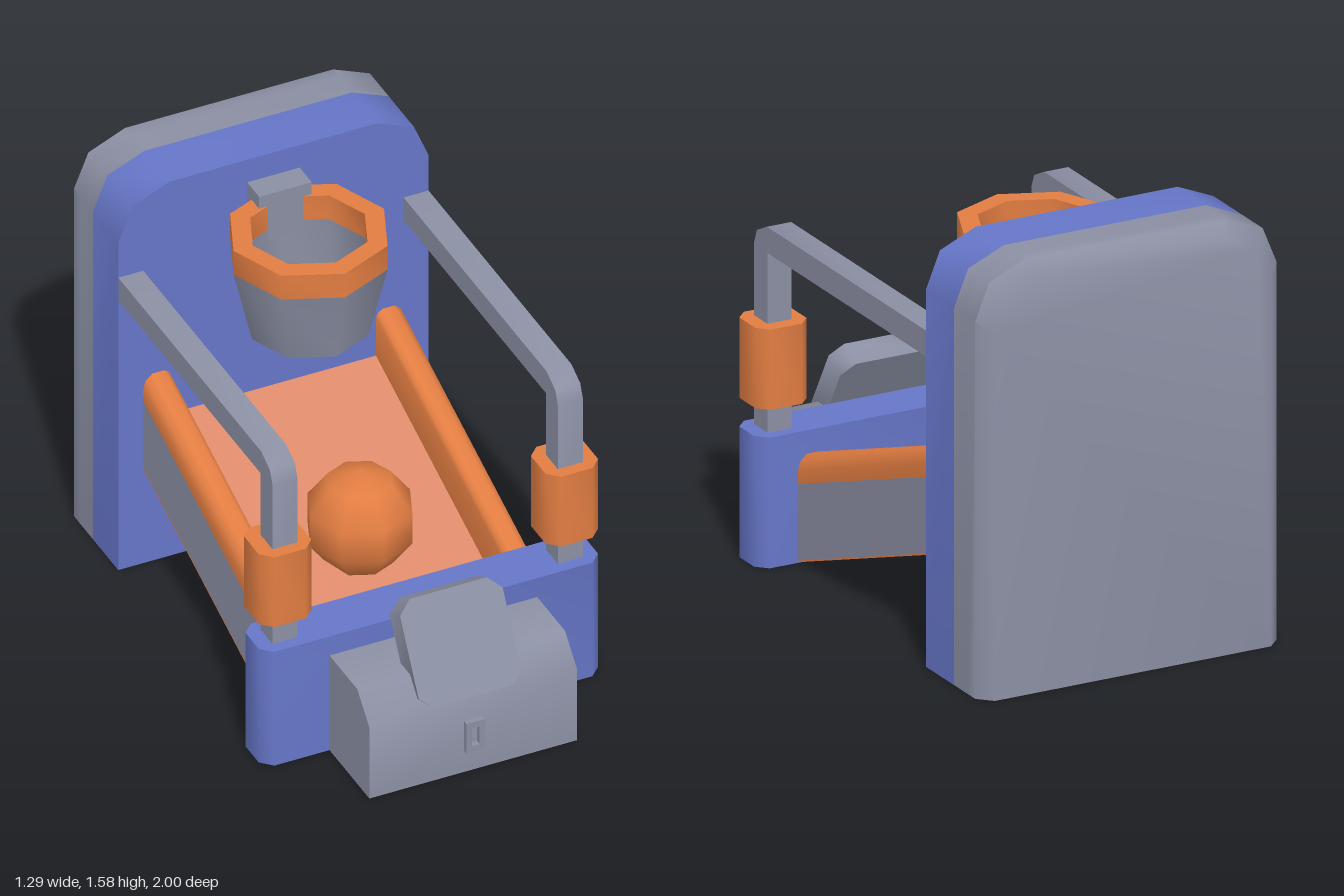
import * as THREE from 'three';
import { toCreasedNormals } from 'three/addons/utils/BufferGeometryUtils.js';

const mat = (name, color) => {
  const m = new THREE.MeshStandardMaterial({ color });
  m.name = name;
  return m;
};

export function createModel() {
  const group = new THREE.Group();
  const blue = mat('blue', 0x6676c8);
  const gray = mat('gray', 0x8b8fa3);
  const orange = mat('orange', 0xe27d42);
  const salmon = mat('salmon', 0xdc8a6a);

  const add = (name, geometry, material) => {
    const mesh = new THREE.Mesh(toCreasedNormals(geometry, 0.82), material);
    mesh.name = name;
    group.add(mesh);
    return mesh;
  };
  const polygon = (pts) => new THREE.Shape(pts.map(([x, y]) => new THREE.Vector2(x, y)));
  const extrude = (pts, depth, steps = 1) =>
    new THREE.ExtrudeGeometry(polygon(pts), { depth, steps, bevelEnabled: false });
  // Side profile of (z, y) points, extruded across x and centred on cx
  const across = (pts, width, cx = 0) =>
    extrude(pts, width).translate(0, 0, -width / 2).rotateY(-Math.PI / 2).translate(cx, 0, 0);
  // Rectangle with cut corners
  const cutRect = (w, h, c) => [
    [-w + c, -h], [w - c, -h], [w, -h + c], [w, h - c],
    [w - c, h], [-w + c, h], [-w, h - c], [-w, -h + c],
  ];
  // Upright prism with cut corners
  const post = (w, d, c, y0, y1, x, z) =>
    extrude(cutRect(w / 2, d / 2, c), y1 - y0).rotateX(-Math.PI / 2).translate(x, y0, z);

  // Backboard: front slab and rear shell with a chamfered back edge
  const board = [
    [-0.59, 0], [0.59, 0], [0.59, 1.385], [0.535, 1.52],
    [0.395, 1.58], [-0.395, 1.58], [-0.535, 1.52], [-0.59, 1.385],
  ];
  add('backboard', extrude(board, 0.2).translate(0, 0, -0.8), blue);
  const shell = extrude(board, 0.2, 4).translate(0, 0, -1);
  const sp = shell.attributes.position;
  for (let i = 0; i < sp.count; i++) {
    if (sp.getZ(i) < -0.99) sp.setXY(i, sp.getX(i) * 0.915, sp.getY(i) * 0.968);
  }
  add('backShell', shell, gray);

  // Sloping lane: cross-sections at the backboard, sheared downwards to the front
  const lane = (pts) => {
    const g = extrude(pts, 1.085).translate(0, 0, -0.6);
    const p = g.attributes.position;
    for (let i = 0; i < p.count; i++) p.setY(i, p.getY(i) - 0.3664 * (p.getZ(i) + 0.6));
    return g;
  };
  const block = (x0, x1, y0, y1) => [[x0, y0], [x1, y0], [x1, y1], [x0, y1]];
  add('laneUnderside', lane(block(-0.495, 0.495, 0.398, 0.404)), orange);
  add('laneFloor', lane(block(-0.395, 0.395, 0.404, 0.6)), salmon);

  for (const [s, side] of [[1, 'left'], [-1, 'right']]) {
    const wall = s > 0 ? block(0.395, 0.495, 0.404, 0.685) : block(-0.495, -0.395, 0.404, 0.685);
    add(side + 'LaneWall', lane(wall), gray);
    // Rounded rail along the top, with a thin inner lining
    const rail = [
      [0.39, 0.595], [0.394, 0.595], [0.394, 0.685], [0.495, 0.685], [0.495, 0.735],
      [0.485, 0.768], [0.46, 0.79], [0.415, 0.79], [0.397, 0.778], [0.39, 0.76],
    ];
    add(side + 'Rail', lane(rail.map(([x, y]) => [x * s, y])), orange);

    // Bent square arm from the front bar back to the board
    add(side + 'Arm', across([
      [0.525, 0.46], [0.62, 0.46], [0.62, 1.15], [0.6, 1.2], [0.53, 1.235],
      [-0.6, 1.235], [-0.6, 1.14], [0.525, 1.14],
    ], 0.095, s * 0.5425), gray);
    add(side + 'Collar', post(0.2, 0.195, 0.04, 0.585, 0.88, s * 0.545, 0.568), orange);
  }

  // Front bar and control box
  add('frontBar', post(1.29, 0.185, 0.04, 0, 0.48, 0, 0.5725), blue);
  add('controlBox', across([
    [0.66, 0], [0.98, 0], [0.98, 0.3], [0.885, 0.4], [0.66, 0.4],
  ], 0.79), gray);

  // Tilted display plate
  const plate = add('displayPlate',
    extrude(cutRect(0.195, 0.195, 0.048), 0.094).translate(0, 0.195, -0.094), gray);
  plate.position.set(0, 0.3, 0.978);
  plate.rotation.x = -Math.PI / 6;

  // Coin slot frame
  const slot = polygon(block(-0.035, 0.035, 0.09, 0.215));
  slot.holes.push(polygon(block(-0.015, 0.015, 0.115, 0.19)));
  add('coinSlot', new THREE.ExtrudeGeometry(slot, { depth: 0.025, bevelEnabled: false })
    .translate(0, 0, 0.975), gray);

  // Ball
  const ball = new THREE.Mesh(new THREE.SphereGeometry(0.2, 8, 5), orange);
  ball.name = 'ball';
  ball.position.set(0, 0.48, 0.085);
  group.add(ball);

  // Open octagonal hoop: tapered sleeve, rim and bracket
  const ring = (pts) =>
    new THREE.LatheGeometry(pts.map(([x, y]) => new THREE.Vector2(x, y)), 8).translate(0, 0, -0.32);
  add('hoopSleeve', ring([
    [0.21, 1.04], [0.216, 1.04], [0.286, 1.335], [0.213, 1.335], [0.21, 1.04],
  ]), gray);
  add('hoopRim', ring([
    [0.213, 1.335], [0.286, 1.335], [0.286, 1.435], [0.213, 1.435], [0.213, 1.335],
  ]), orange);
  add('hoopBracket', new THREE.BoxGeometry(0.2, 0.195, 0.1).translate(0, 1.3875, -0.555), gray);

  return group;
}
